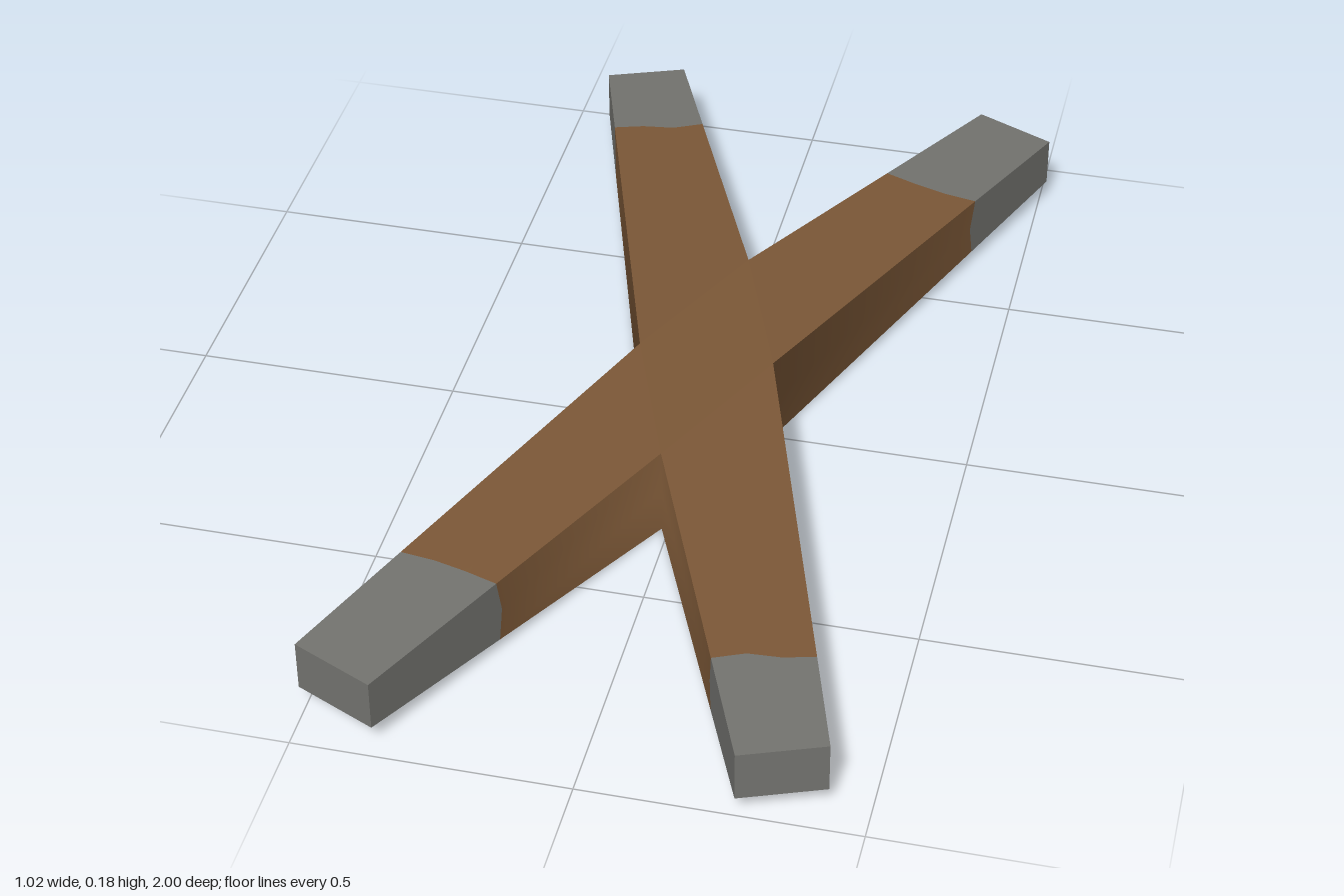
import * as THREE from 'three';

const wood = new THREE.MeshStandardMaterial({ color: 0x7c5837, side: THREE.DoubleSide });
wood.name = 'wood brown';
const metal = new THREE.MeshStandardMaterial({ color: 0x73736f, side: THREE.DoubleSide });
metal.name = 'metal grey';

const WOOD = 0, METAL = 1;
const HUB = { top: 0.18, bottom: 0.003 };
const TIP = { top: 0.14, bottom: 0.042 };
const lerp = THREE.MathUtils.lerp;

// Smooth sheet through a grid of points; colours[i] is the material of row i
function sheet(name, rows, colours, flip = false) {
  const n = rows[0].length;
  const indices = [[], []];
  for (let i = 0; i < rows.length - 1; i++) {
    for (let j = 0; j < n - 1; j++) {
      const a = i * n + j, b = a + n, c = b + 1, d = a + 1;
      indices[colours[i]].push(...(flip ? [a, c, b, a, d, c] : [a, b, c, a, c, d]));
    }
  }
  const geo = new THREE.BufferGeometry();
  geo.setAttribute('position', new THREE.Float32BufferAttribute(rows.flat(2), 3));
  geo.setIndex(indices.flat());
  geo.addGroup(0, indices[WOOD].length, WOOD);
  geo.addGroup(indices[WOOD].length, indices[METAL].length, METAL);
  geo.computeVertexNormals();
  const mesh = new THREE.Mesh(geo, [wood, metal]);
  mesh.name = name;
  return mesh;
}

// Plan corners [x, z]; the other half is this one turned by 180 degrees
const rightNotch = [0.128, 0.002], leftNotch = [-0.128, -0.002];
const frontNotch = [-0.013, 0.308], backNotch = [0.013, -0.308];

// Edge from notch to tip; position along it at s in 0..1, level v in 0 (top)..1 (bottom)
const edge = (from, to) => (s, v = 0) => [
  lerp(from[0], to[0], s),
  lerp(lerp(HUB.top, TIP.top, s), lerp(HUB.bottom, TIP.bottom, s), v),
  lerp(from[1], to[1], s),
];
const arms = {
  left: { // model's left (+x) front arm
    outer: edge(rightNotch, [0.427, 0.943]), inner: edge(frontNotch, [0.278, 1]),
    cut: [0.787, 0.763, 0.72, 0.696], flip: true,
  },
  right: {
    outer: edge(leftNotch, [-0.512, 0.902]), inner: edge(frontNotch, [-0.36, 0.972]),
    cut: [0.713, 0.669, 0.626, 0.579], flip: false,
  },
};

const mix = (a, b, t) => a.map((v, k) => lerp(v, b[k], t));
const turn = ([x, y, z]) => [-x, y, -z];
const levels = [0, 0.5, 1];

// Arm roof with a wavy border between wood and metal cap
function roof(name, { outer, inner, cut, flip }) {
  const row = (s) => cut.map((c, j) => {
    const at = s ?? c;
    return mix(outer(at), inner(at), j / (cut.length - 1));
  });
  return sheet(name, [row(0), row(null), row(1)], [WOOD, METAL], flip);
}

// Side wall running tip - notch - tip, bent at the notch
function wall(name, first, cutA, second, cutB) {
  const bow = [0, -0.015, -0.004];
  const line = (fn, s, wave) => levels.map((v, k) => fn(s + (wave ? bow[k] : 0), v));
  return sheet(name, [
    line(first, 1), line(first, cutA, true), line(first, 0),
    line(second, cutB, true), line(second, 1),
  ], [METAL, WOOD, WOOD, METAL]);
}

const endWall = (name, from, to) =>
  sheet(name, [from, to].map((fn) => [0, 1].map((v) => fn(1, v))), [METAL]);

function createHalf() {
  const half = new THREE.Group();
  const { left, right } = arms;
  const backOuter = (s, v) => turn(right.outer(s, v));
  half.add(
    roof('leftArmTop', left),
    roof('rightArmTop', right),
    wall('outerWall', backOuter, right.cut[0], left.outer, left.cut[0]),
    wall('innerWall', left.inner, left.cut[3], right.inner, right.cut[3]),
    endWall('leftArmEnd', left.outer, left.inner),
    endWall('rightArmEnd', right.inner, right.outer),
  );
  return half;
}

export function createModel() {
  const model = new THREE.Group();
  model.name = 'crossedBeams';

  // Front half and the same half turned to the back
  const front = createHalf();
  front.name = 'frontHalf';
  const back = createHalf();
  back.name = 'backHalf';
  back.rotation.y = Math.PI;

  // Flat top where the beams cross
  const at = ([x, z]) => [x, HUB.top, z];
  const hub = sheet('hubTop', [
    [at(leftNotch), at(backNotch)],
    [at(frontNotch), at(rightNotch)],
  ], [WOOD]);

  model.add(front, back, hub);
  return model;
}
